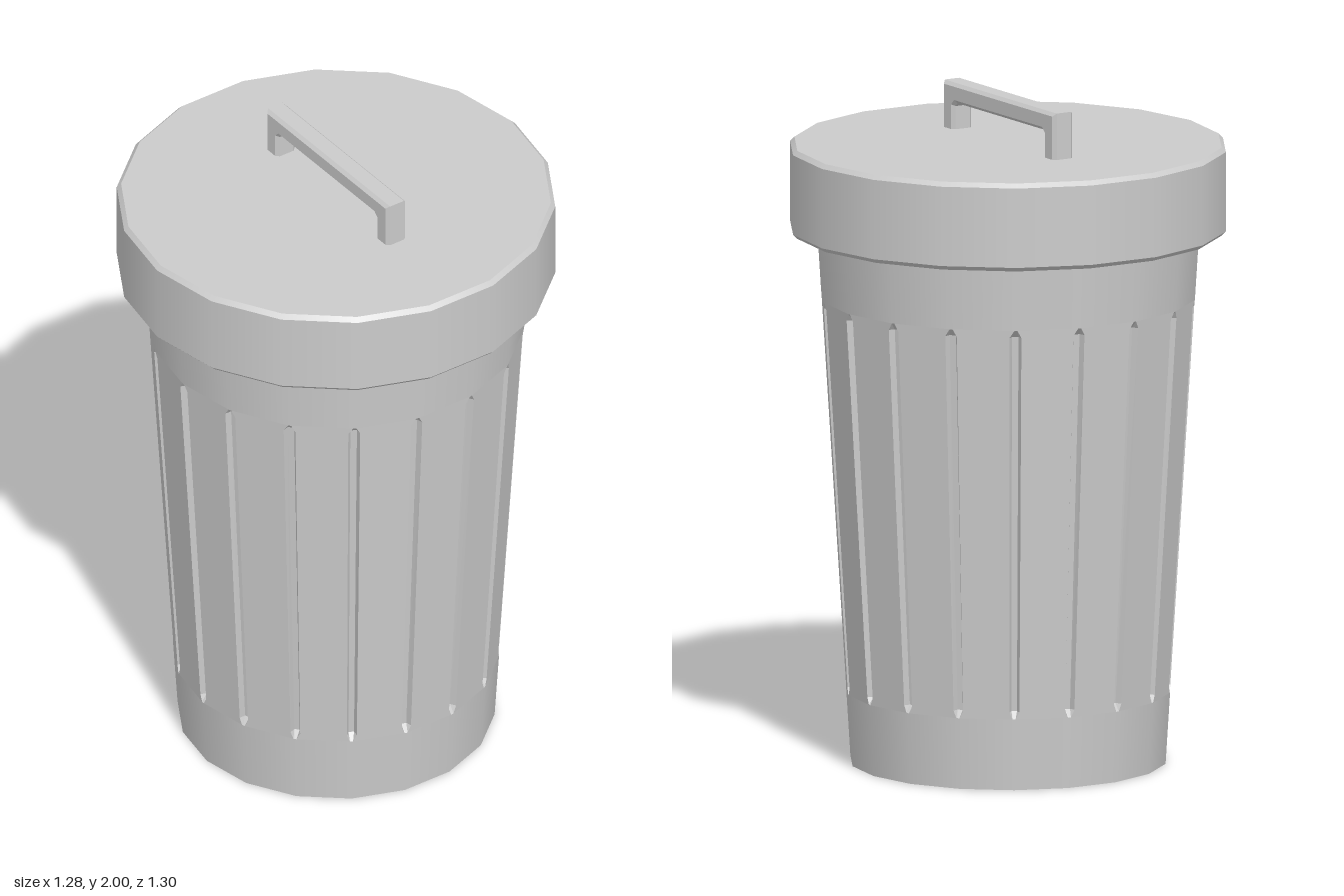
import * as THREE from 'three';
import { mergeGeometries } from 'three/addons/utils/BufferGeometryUtils.js';

const SIDES = 18;
const BODY_TOP = 1.62;
const GROOVE_BOTTOM = 0.215;
const GROOVE_TOP = 1.4;
const bodyRadius = (y) => 0.47 + (0.1 * y) / 1.6;

// Open, smooth ring between two heights.
function ring(r0, r1, y0, y1) {
  const g = new THREE.CylinderGeometry(r1, r0, y1 - y0, SIDES, 1, true);
  return g.translate(0, (y0 + y1) / 2, 0);
}

// Flat disc facing up (1) or down (-1).
function disc(r, y, facing) {
  const g = new THREE.CircleGeometry(r, SIDES, Math.PI / 2);
  return g.rotateX((-facing * Math.PI) / 2).translate(0, y, 0);
}

// Middle of the body: flat panels with a recessed groove at every corner.
function groovedWall() {
  const rows = [
    { y: GROOVE_BOTTOM, w: 0.006, d: 0 },
    { y: GROOVE_BOTTOM + 0.022, w: 0.015, d: 0.02 },
    { y: GROOVE_TOP - 0.022, w: 0.018, d: 0.02 },
    { y: GROOVE_TOP, w: 0.006, d: 0 },
  ];
  // Groove section: edge, floor, floor, edge.
  const section = [[-1, 0], [-0.55, 1], [0.55, 1], [1, 0]];
  const corner = (k, r, y) => {
    const a = (k / SIDES) * Math.PI * 2;
    return new THREE.Vector3(Math.sin(a) * r, y, Math.cos(a) * r);
  };
  const loops = rows.map(({ y, w, d }) => {
    const r = bodyRadius(y);
    const loop = [];
    for (let k = 0; k < SIDES; k++) {
      const c = corner(k, r, y);
      for (const [side, depth] of section) {
        const along = corner(k + Math.sign(side), r, y).sub(c).normalize();
        const inward = corner(k, 1, 0).multiplyScalar(-d * depth);
        loop.push(c.clone().addScaledVector(along, w * Math.abs(side)).add(inward));
      }
    }
    return loop;
  });
  const points = [];
  for (let j = 0; j < loops.length - 1; j++) {
    const lo = loops[j];
    const hi = loops[j + 1];
    for (let i = 0; i < lo.length; i++) {
      const n = (i + 1) % lo.length;
      points.push(lo[i], lo[n], hi[n], lo[i], hi[n], hi[i]);
    }
  }
  const g = new THREE.BufferGeometry().setFromPoints(points);
  g.computeVertexNormals();
  return g;
}

// Square arch with small inner chamfers and bevelled edges.
function handleGeometry() {
  const bevel = 0.01;
  const outer = 0.31 - bevel;
  const inner = 0.25 + bevel;
  const top = 2 - bevel;
  const under = 1.94 + bevel;
  const base = 1.84;
  const cut = 0.016;
  const shape = new THREE.Shape([
    [-outer, base], [-inner, base], [-inner, under - cut], [-inner + cut, under],
    [inner - cut, under], [inner, under - cut], [inner, base], [outer, base],
    [outer, top], [-outer, top],
  ].map(([x, y]) => new THREE.Vector2(x, y)));
  const depth = 0.07 - 2 * bevel;
  const g = new THREE.ExtrudeGeometry(shape, {
    depth, bevelEnabled: true, bevelThickness: bevel, bevelSize: bevel, bevelSegments: 1,
  });
  return g.translate(0, 0, -depth / 2);
}

export function createModel() {
  const smooth = new THREE.MeshStandardMaterial({ color: 0xcccccc });
  const flat = new THREE.MeshStandardMaterial({ color: 0xcccccc, flatShading: true });
  const model = new THREE.Group();
  model.name = 'trashCan';
  const add = (parent, name, geometry, material) => {
    const mesh = new THREE.Mesh(geometry, material);
    mesh.name = name;
    parent.add(mesh);
  };

  // Tapered body: plain bands above and below the grooved wall.
  const body = new THREE.Group();
  body.name = 'body';
  model.add(body);
  const band = (y0, y1) => ring(bodyRadius(y0), bodyRadius(y1), y0, y1);
  add(body, 'lowerBand', band(0, GROOVE_BOTTOM), smooth);
  add(body, 'groovedWall', groovedWall(), flat);
  add(body, 'upperBand', band(GROOVE_TOP, BODY_TOP), smooth);
  add(body, 'base', disc(bodyRadius(0), 0, -1), smooth);

  // Lid with chamfered rims.
  const R = 0.65;
  const c = 0.013;
  const y0 = 1.595;
  const y1 = 1.86;
  add(model, 'lid', mergeGeometries([
    disc(R - c, y0, -1),
    ring(R - c, R, y0, y0 + c),
    ring(R, R, y0 + c, y1 - c),
    ring(R, R - c, y1 - c, y1),
    disc(R - c, y1, 1),
  ]), smooth);

  add(model, 'lidHandle', handleGeometry(), flat);
  return model;
}
